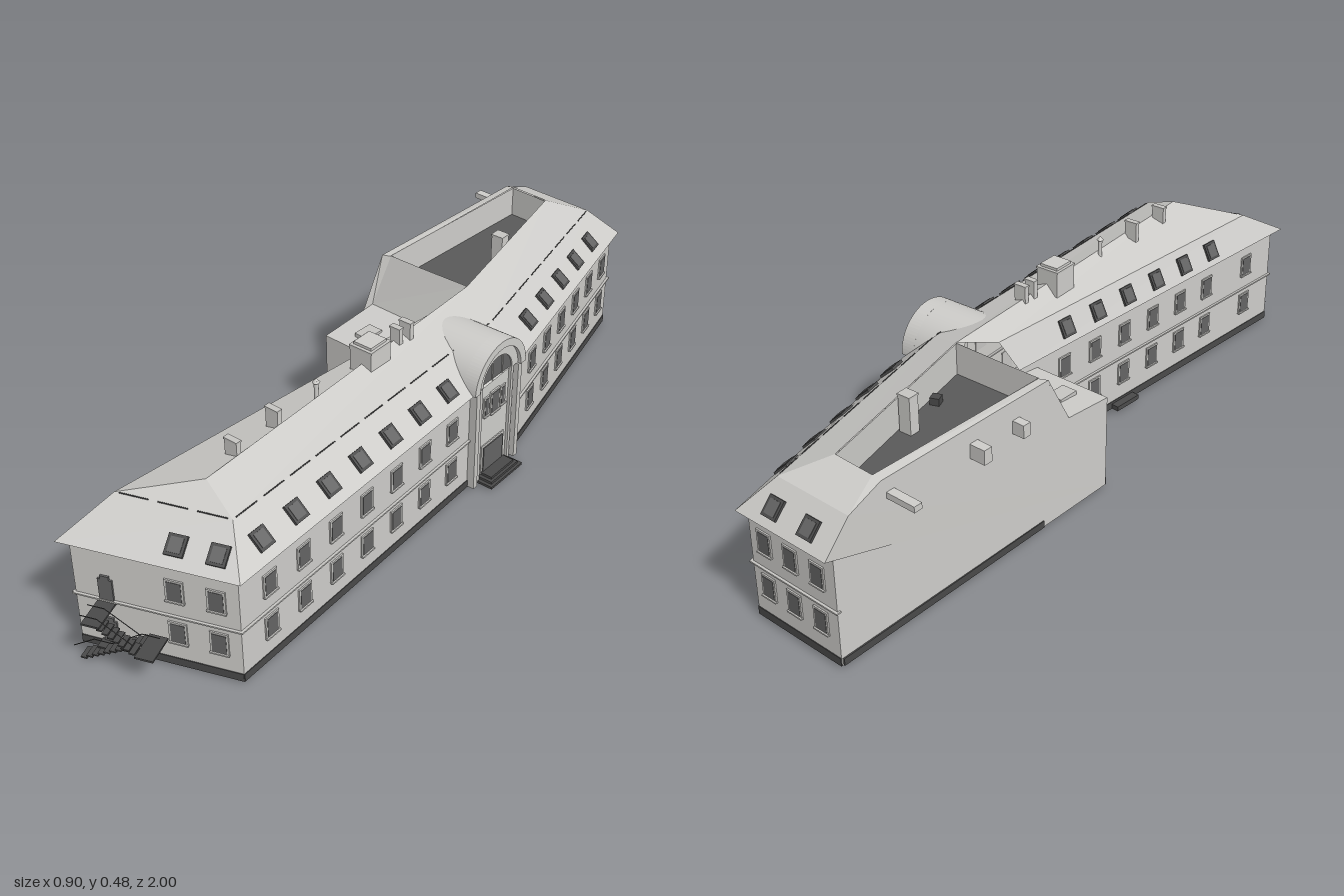
import * as THREE from 'three';

const mat = (name, color, side = THREE.FrontSide) => {
  const m = new THREE.MeshStandardMaterial({ color, side });
  m.name = name;
  return m;
};

export function createModel() {
  const root = new THREE.Group();
  root.name = 'cityBuilding';
  const wall = mat('wallGrey', 0xcecdca, THREE.DoubleSide);
  const roof = mat('roofGrey', 0xcdccc9, THREE.DoubleSide);
  const trim = mat('trimGrey', 0xc6c5c2);
  const dark = mat('plinthDark', 0x4a4a4a, THREE.DoubleSide);
  const flat = mat('flatRoofDark', 0x5a5a5a, THREE.DoubleSide);
  const glass = mat('glassGrey', 0x646464, THREE.DoubleSide);

  // ---- helpers ----
  const add = (parent, geo, m, name, x = 0, y = 0, z = 0) => {
    const o = new THREE.Mesh(geo, m);
    o.name = name;
    o.position.set(x, y, z);
    parent.add(o);
    return o;
  };
  const box = (p, m, name, w, h, d, x, y, z) => add(p, new THREE.BoxGeometry(w, h, d), m, name, x, y, z);
  // flat polygon from [x, y, z] corners
  const poly = (name, m, ...c) => {
    const v = [];
    for (let i = 1; i < c.length - 1; i++) v.push(...c[0], ...c[i], ...c[i + 1]);
    const g = new THREE.BufferGeometry();
    g.setAttribute('position', new THREE.Float32BufferAttribute(v, 3));
    g.computeVertexNormals();
    return add(root, g, m, name);
  };
  const at = ([x, z], y) => [x, y, z];
  // group lying on a plan edge: x runs along it, z points outwards
  const edge = (name, p, q) => {
    const g = new THREE.Group();
    g.name = name;
    g.position.set(p[0], 0, p[1]);
    g.rotation.y = Math.atan2(p[1] - q[1], q[0] - p[0]);
    g.userData.len = Math.hypot(q[0] - p[0], q[1] - p[1]);
    root.add(g);
    return g;
  };
  const bar = (name, a, b, r = 0.0012) => {
    const p = new THREE.Vector3(...a), q = new THREE.Vector3(...b), d = q.clone().sub(p);
    const o = add(root, new THREE.CylinderGeometry(r, r, d.length(), 5), dark, name);
    o.position.copy(p).add(q).multiplyScalar(0.5);
    o.quaternion.setFromUnitVectors(new THREE.Vector3(0, 1, 0), d.normalize());
  };
  const windowAt = (g, x, y, w = 0.036, h = 0.053, z = 0) => {
    box(g, trim, 'windowFrame', w + 0.01, h + 0.01, 0.006, x, y, z + 0.001);
    box(g, glass, 'windowPane', w, h, 0.004, x, y, z + 0.003);
    box(g, trim, 'windowSill', w + 0.012, 0.004, 0.01, x, y - h / 2 - 0.004, z + 0.003);
  };
  const skylight = (g, x, y, run, rise) => {
    const s = new THREE.Group();
    s.name = 'roofWindow';
    s.position.set(x, y, -(y - 0.31) / rise * run);
    s.rotation.x = -Math.atan2(run, rise);
    g.add(s);
    box(s, dark, 'roofWindowFrame', 0.046, 0.05, 0.01, 0, 0, 0.002);
    box(s, glass, 'roofWindowPane', 0.032, 0.036, 0.003, 0, 0, 0.007);
  };

  // ---- plan corners [x, z] ----
  const FL = [-0.42, 0.91], FR = [-0.012, 0.91], BEND = [0.335, -0.15], BR = [0.43, -0.865], BL = [0.172, -0.976];
  const W = [-0.195, -0.12], X = [0.02, -0.03];
  const A = [-0.45, 0.923], B = [0, 0.925], C = [0.35, -0.14], D = [0.45, -0.885], E = [0.18, -1], G = [0.04, -0.115];
  const a = [-0.35, 0.81], b = [-0.06, 0.815], c = [0.257, -0.15], d = [0.36, -0.84], e = [0.15, -0.93], g = [0.09, -0.13];
  const P = [-0.15, 0.75], Q = [0.165, -0.235], R = [0.245, -0.78], S = [0.135, -0.83], T = [-0.08, -0.33];
  const S2 = [0.112, -0.84], T2 = [-0.105, -0.33], FOOT = [-0.121, -0.293], FOOT2 = [0.15, -0.18];
  const EAVE = 0.31, BREAK = 0.392, RIDGE = 0.435;

  // ---- walls with plinth and string course ----
  const walls = {};
  [['frontWall', FL, FR], ['longWallFront', FR, BEND], ['longWallBack', BEND, BR], ['backWall', BR, BL],
    ['southWall', W, X], ['courtWall', X, FL]].forEach(([name, p, q]) => {
    const top = name === 'southWall' ? 0.275 : EAVE;
    poly(name + 'Face', wall, at(p, 0.008), at(q, 0.008), at(q, top), at(p, top));
    const w = walls[name] = edge(name, p, q), L = w.userData.len;
    box(w, dark, 'plinth', L, 0.022, 0.004, L / 2, 0.019, 0);
    if (name !== 'southWall') box(w, trim, 'stringCourse', L + 0.01, 0.004, 0.014, L / 2, 0.16, 0);
  });
  // the court wall goes on inside the rear wing
  poly('courtWallEnd', wall, at(X, 0.008), at([0.1, -0.2], 0.008), at([0.1, -0.2], EAVE), at(X, EAVE));
  poly('blankWall', wall, at(W, 0.008), at(BL, 0.008), at(BL, EAVE), at(E, EAVE), at(e, BREAK), at(S2, 0.43), at(T2, 0.43),
    at(FOOT, 0.29), at(W, 0.275));
  const blank = edge('blankWallDetails', E, W);
  box(blank, dark, 'plinth', 0.68, 0.02, 0.004, 0.37, 0.018, 0);
  box(walls.courtWall, dark, 'groundSlab', 0.09, 0.014, 0.025, 0.35, 0.016, 0.012);

  // ---- mansard roof ----
  const slopes = [[A, B, b, a], [B, C, c, b], [C, D, d, c], [D, E, e, d], [G, A, a, g]];
  for (const [p, q, r, s] of slopes)
    poly('lowerRoof', roof, at(p, EAVE), at(q, EAVE), at(r, BREAK), at(s, BREAK));
  poly('upperRoofFront', roof, at(a, BREAK), at(b, BREAK), at(P, RIDGE));
  poly('upperRoofLong', roof, at(b, BREAK), at(c, BREAK), at(Q, RIDGE), at(P, RIDGE));
  poly('upperRoofRear', roof, at(c, BREAK), at(d, BREAK), at(R, RIDGE), at(Q, RIDGE));
  poly('upperRoofBack', roof, at(d, BREAK), at(e, BREAK), at(S, RIDGE), at(R, RIDGE));
  poly('upperRoofCourt', roof, at(g, BREAK), at(a, BREAK), at(P, RIDGE), at(Q, RIDGE));
  // low roof south of the sunken roof, with the steep face behind it
  poly('southRoof', roof, at(W, 0.275), at(X, 0.275), at(FOOT2, 0.29), at(FOOT, 0.29));
  poly('southRoofFace', roof, at(FOOT, 0.29), at(FOOT2, 0.29), at(Q, RIDGE), at(T, 0.43), at(T2, 0.43));
  poly('parapetTop', roof, at(T2, 0.43), at(T, 0.43), at(S, RIDGE), at(S2, 0.43));
  poly('parapetEnd', roof, at(S2, 0.43), at(S, RIDGE), at(e, BREAK));
  // eave soffits
  for (const [p, q, r, s] of [[A, B, FR, FL], [B, C, BEND, FR], [C, D, BR, BEND], [D, E, BL, BR], [X, A, FL, X]])
    poly('soffit', roof, at(s, EAVE - 0.001), at(r, EAVE - 0.001), at(q, EAVE), at(p, EAVE));
  // snow guards: dashes along the roof break
  for (const [p, q] of [[a, b], [b, c], [c, d]]) {
    const n = Math.round(Math.hypot(q[0] - p[0], q[1] - p[1]) / 0.09);
    const mix = (t) => [p[0] + (q[0] - p[0]) * t, BREAK + 0.001, p[1] + (q[1] - p[1]) * t];
    for (let i = 0; i < n; i++) bar('snowGuard', mix((i + 0.12) / n), mix((i + 0.88) / n), 0.0016);
  }
  // sunken flat roof
  const pit = [S, R, Q, T];
  poly('flatRoof', flat, ...pit.map((p) => at(p, 0.345)));
  pit.forEach((p, i) => {
    const q = pit[(i + 1) % 4];
    poly('flatRoofSide', wall, at(p, 0.345), at(q, 0.345), at(q, 0.432), at(p, 0.432));
  });

  // ---- windows ----
  const rows = [0.11, 0.235];
  // distance along an edge for a given plan z
  const along = (p, q, z) => (z - p[1]) / (q[1] - p[1]) * Math.hypot(q[0] - p[0], q[1] - p[1]);
  const eF = edge('frontEave', A, B), eL = edge('longEaveFront', B, C), eR = edge('longEaveBack', C, D);
  const eB = edge('backEave', D, E), eC = edge('courtEave', G, A);
  for (const x of [-0.168, -0.067]) {
    rows.forEach((y) => windowAt(walls.frontWall, x + 0.42, y));
    skylight(eF, x + 0.45, 0.342, 0.11, 0.082);
  }
  for (let i = 0; i < 7; i++) {
    const z = 0.815 - i * 0.1125;
    rows.forEach((y) => windowAt(walls.longWallFront, along(FR, BEND, z), y));
    skylight(eL, along(B, C, z), 0.345, 0.09, 0.082);
  }
  for (let i = 0; i < 6; i++) {
    rows.forEach((y) => windowAt(walls.longWallBack, along(BEND, BR, -0.25 - i * 0.11), y));
    if (i < 5) skylight(eR, along(C, D, -0.26 - i * 0.1175), 0.345, 0.09, 0.082);
    const z = 0.065 + i * 0.112;
    rows.forEach((y) => windowAt(walls.courtWall, along(X, FL, z), y));
    skylight(eC, along(G, A, z), 0.348, 0.043, 0.082);
  }
  rows.forEach((y) => windowAt(walls.courtWall, along(X, FL, 0.8), y));
  for (const x of [0.05, 0.137, 0.225]) rows.forEach((y) => windowAt(walls.backWall, x, y));
  for (const x of [0.1, 0.215]) skylight(eB, x, 0.345, 0.076, 0.082);
  for (const x of [0.06, 0.15]) windowAt(walls.southWall, x, 0.12);
  box(walls.southWall, trim, 'southRoofHatch', 0.045, 0.012, 0.06, 0.088, 0.284, -0.074);

  // ---- entrance portal with barrel vault ----
  const portal = edge('portal', [0.289, -0.033], [0.289 + 0.34, -0.033 - 0.94]);
  box(portal, wall, 'portalPanel', 0.16, 0.3, 0.02, 0, 0.16, 0.006);
  for (const s of [-1, 1]) {
    box(portal, trim, 'pilaster', 0.016, 0.3, 0.04, s * 0.092, 0.16, 0.012);
    box(portal, trim, 'innerPilaster', 0.01, 0.3, 0.028, s * 0.068, 0.16, 0.01);
    windowAt(portal, s * 0.036, 0.235, 0.014, 0.05, 0.016);
  }
  const half = (r) => new THREE.Shape().absarc(0, 0, r, 0, Math.PI, false);
  const arch = (name, ro, ri, z, depth) => {
    const s = half(ro);
    s.lineTo(-ri, 0);
    s.absarc(0, 0, ri, Math.PI, 0, true);
    add(portal, new THREE.ExtrudeGeometry(s, { depth, bevelEnabled: false, curveSegments: 20 }), wall, name, 0, EAVE, z);
  };
  arch('outerArch', 0.112, 0.09, -0.005, 0.04);
  arch('innerArch', 0.092, 0.064, -0.005, 0.03);
  add(portal, new THREE.ShapeGeometry(half(0.066), 20), glass, 'lunette', 0, EAVE, 0.021);
  for (const x of [-0.022, 0.022]) box(portal, trim, 'lunetteBar', 0.003, 0.058, 0.004, x, EAVE + 0.029, 0.022);
  const vault = new THREE.CylinderGeometry(0.112, 0.112, 0.19, 24, 1, true, Math.PI / 2, Math.PI);
  vault.rotateX(Math.PI / 2);
  add(portal, vault, roof, 'barrelVault', 0, EAVE, -0.06);
  box(portal, trim, 'portalFrame', 0.1, 0.09, 0.006, 0, 0.067, 0.016);
  box(portal, glass, 'portalDoor', 0.086, 0.08, 0.006, 0, 0.065, 0.019);
  windowAt(portal, 0, 0.235, 0.03, 0.06, 0.017);
  for (let i = 0; i < 3; i++) box(portal, dark, 'portalStep', 0.1 + i * 0.02, 0.007, 0.08 + i * 0.016, 0, 0.026 - i * 0.007, 0.014);

  // ---- outside stair on the front end ----
  for (const y of [0.03, 0.155]) {
    box(walls.frontWall, glass, 'stairDoor', 0.036, 0.064, 0.006, 0.08, y + 0.035, 0.002);
    box(walls.frontWall, glass, 'stairDoorTop', 0.022, 0.012, 0.006, 0.08, y + 0.071, 0.002);
  }
  for (let i = 0; i < 11; i++) box(root, dark, 'lowerStep', 0.016, 0.004, 0.036, -0.395 + i * 0.0155, 0.003 + i * 0.0085, 0.938);
  for (let i = 0; i < 7; i++) box(root, dark, 'upperStep', 0.014, 0.004, 0.036, -0.243 - i * 0.0125, 0.1 + i * 0.008, 0.98);
  box(root, dark, 'middleLanding', 0.046, 0.005, 0.08, -0.213, 0.093, 0.96);
  box(root, dark, 'topLanding', 0.045, 0.005, 0.088, -0.34, 0.155, 0.955);
  box(root, dark, 'doorLanding', 0.05, 0.005, 0.03, -0.34, 0.032, 0.925);
  const rails = (pts, z) => pts.slice(1).forEach((q, i) => bar('handrail', [...pts[i], z], [...q, z]));
  rails([[-0.415, 0.038], [-0.36, 0.073], [-0.315, 0.073], [-0.235, 0.127], [-0.19, 0.127]], 0.957);
  for (const z of [0.962, 0.998]) rails([[-0.235, 0.127], [-0.32, 0.182], [-0.362, 0.182]], z);

  // ---- porch in the corner of the court ----
  const porch = edge('courtPorch', [-0.03, 0.075], X);
  box(porch, wall, 'porchBody', 0.055, 0.11, 0.035, 0.068, 0.065, -0.032);
  box(porch, roof, 'porchRoof', 0.06, 0.006, 0.04, 0.068, 0.123, -0.032);
  for (let i = 0; i < 3; i++) box(porch, dark, 'porchStep', 0.014, 0.008, 0.03, 0.034 - i * 0.013, 0.03 - i * 0.008, -0.032);

  // ---- chimneys and vents ----
  const chimney = (x, z, w, dp, y0, y1, turn = -0.35) => {
    const o = new THREE.Group();
    o.name = 'chimney';
    o.position.set(x, 0, z);
    o.rotation.y = turn;
    root.add(o);
    box(o, wall, 'chimneyShaft', w, y1 - y0, dp, 0, (y0 + y1) / 2, 0);
    box(o, trim, 'chimneyCap', w + 0.003, 0.005, dp + 0.003, 0, y1, 0);
  };
  chimney(0.033, 0.17, 0.068, 0.075, 0.4, 0.475);
  box(root, wall, 'roofHouseTop', 0.055, 0.008, 0.06, 0.033, 0.481, 0.17).rotation.y = -0.35;
  chimney(0.085, 0.04, 0.035, 0.014, 0.4, 0.472);
  chimney(0.07, 0.075, 0.03, 0.014, 0.4, 0.472);
  chimney(-0.09, 0.5, 0.038, 0.014, 0.4, 0.472);
  chimney(-0.135, 0.635, 0.038, 0.014, 0.39, 0.466);
  chimney(0.18, -0.515, 0.036, 0.03, 0.34, 0.447);
  box(root, dark, 'roofHatch', 0.025, 0.02, 0.025, 0.165, 0.355, -0.38);
  add(root, new THREE.CylinderGeometry(0.006, 0.006, 0.06, 12), wall, 'ventPipe', -0.035, 0.445, 0.365);
  add(root, new THREE.ConeGeometry(0.01, 0.012, 12), trim, 'ventCap', -0.035, 0.476, 0.365);
  // vents projecting from the blank wall
  [[0.2, 0.385, 0.024, 0.016, 0.085], [0.465, 0.366, 0.026, 0.04, 0.045], [0.61, 0.36, 0.024, 0.036, 0.035]].forEach(
    ([x, y, w, h, dp]) => box(blank, wall, 'wallVent', w, h, dp, x, y, dp / 2));
  return root;
}
